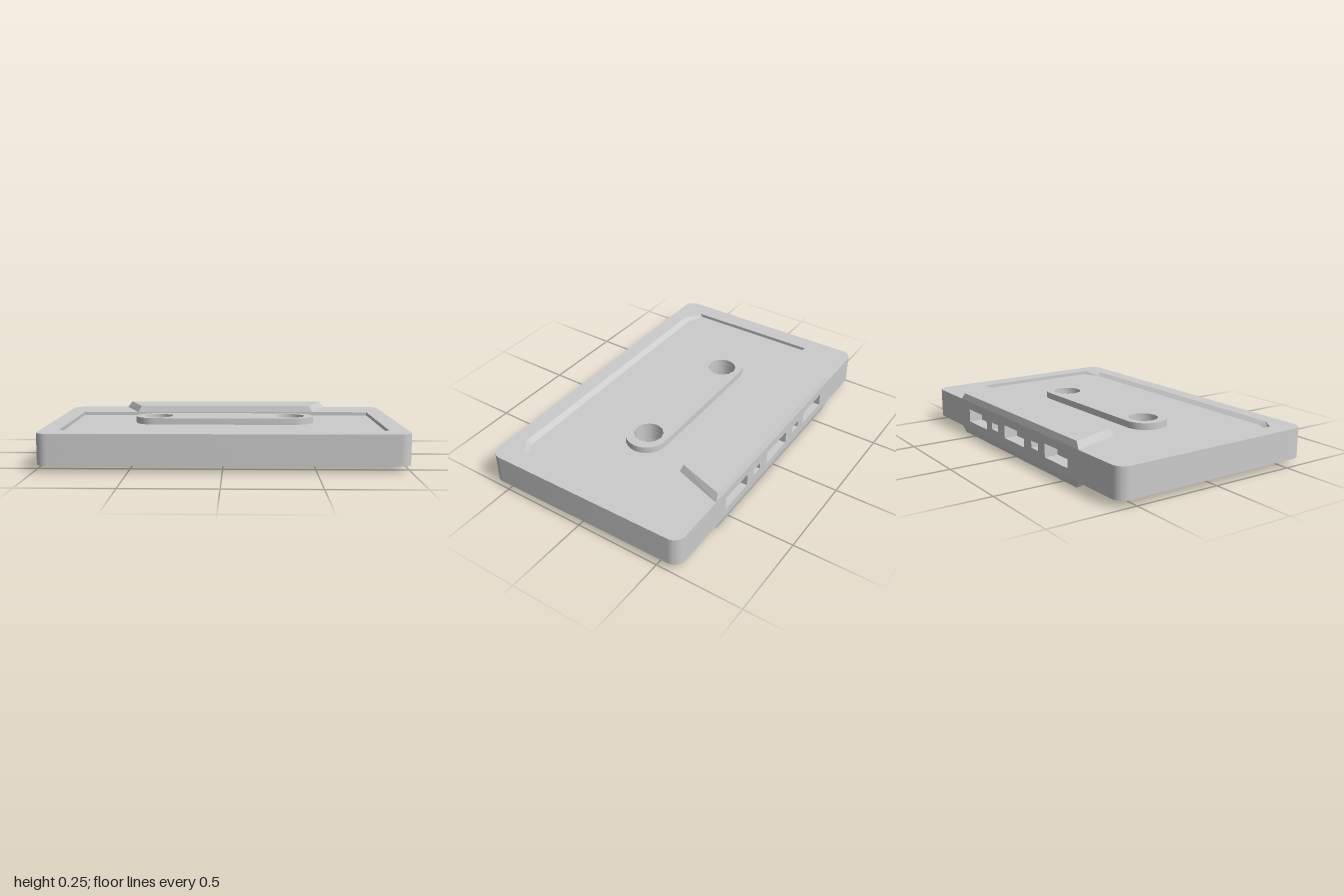
import * as THREE from 'three';
import { toCreasedNormals } from 'three/addons/utils/BufferGeometryUtils.js';
import { ConvexGeometry } from 'three/addons/geometries/ConvexGeometry.js';

const W = 0.994, D = 0.613, R = 0.065;           // half width, half depth, corner radius
const BODY = 0.085, FLOOR = 0.065;               // heights from the mid plane
const HUB = 0.1025, HEAD = 0.1225;
const HOLE_X = 0.39, HOLE_V = 0.012, HOLE_R = 0.083;
const material = new THREE.MeshStandardMaterial({ color: 0xcccccc });
const flat = new THREE.MeshStandardMaterial({ color: 0xcccccc, flatShading: true, side: THREE.DoubleSide });

function mesh(name, geometry, mat = material) {
  const m = new THREE.Mesh(geometry, mat);
  m.name = name;
  return m;
}

// Plan shapes use v = -z, so the rear edge lies at +v
function plate(name, shape, y0, y1) {
  const g = new THREE.ExtrudeGeometry(shape, { depth: y1 - y0, bevelEnabled: false, curveSegments: 6 });
  g.rotateX(-Math.PI / 2).translate(0, y0, 0);
  return mesh(name, toCreasedNormals(g, 0.6));
}

// Rounded outline with notches [centre, half width] cut into the rear edge
function outline(notches = [], depth = 0.08) {
  const s = new THREE.Shape();
  s.moveTo(-W + R, -D);
  s.lineTo(W - R, -D);
  s.absarc(W - R, -D + R, R, -Math.PI / 2, 0);
  s.absarc(W - R, D - R, R, 0, Math.PI / 2);
  for (const [x, h] of [...notches].sort((a, b) => b[0] - a[0])) {
    s.lineTo(x + h, D);
    s.lineTo(x + h, D - depth);
    s.lineTo(x - h, D - depth);
    s.lineTo(x - h, D);
  }
  s.absarc(-W + R, D - R, R, Math.PI / 2, Math.PI);
  s.absarc(-W + R, -D + R, R, Math.PI, Math.PI * 1.5);
  return s;
}

function addReelHoles(shape) {
  for (const x of [-HOLE_X, HOLE_X]) {
    shape.holes.push(new THREE.Path().absarc(x, HOLE_V, HOLE_R, 0, Math.PI * 2, true));
  }
  return shape;
}

// Rim, recess, hub plate and head block of one face
function createFace() {
  const face = new THREE.Group();
  const recess = [[-0.89, 0.33], [0.89, 0.33], [0.89, -0.465], [0.8, -0.525], [-0.8, -0.525], [-0.89, -0.465]];
  const rim = outline();
  rim.holes.push(new THREE.Path(recess.map(([x, v]) => new THREE.Vector2(x, v))));
  face.add(plate('rim', rim, FLOOR, BODY));

  // sloped front edge of the recess
  const pos = [], index = [];
  const inner = [[-0.89, 0.45], [-0.78, 0.495], [0.78, 0.495], [0.89, 0.45]];
  const outer = [[-0.89, 0.465], [-0.8, 0.525], [0.8, 0.525], [0.89, 0.465]];
  for (let i = 0; i < 4; i++) {
    pos.push(inner[i][0], FLOOR, inner[i][1], outer[i][0], BODY, outer[i][1]);
    const a = i * 2;
    if (i < 3) index.push(a, a + 1, a + 3, a, a + 3, a + 2);
  }
  const slope = new THREE.BufferGeometry();
  slope.setAttribute('position', new THREE.Float32BufferAttribute(pos, 3));
  slope.setIndex(index);
  slope.computeVertexNormals();
  face.add(mesh('recessSlope', slope, flat));

  // raised capsule around the two reel holes
  const capsule = new THREE.Shape();
  capsule.absarc(0.405, HOLE_V, 0.12, -Math.PI / 2, Math.PI / 2);
  capsule.absarc(-0.405, HOLE_V, 0.12, Math.PI / 2, Math.PI * 1.5);
  face.add(plate('hubPlate', addReelHoles(capsule), FLOOR, HUB));

  // tapered block along the rear edge
  const corners = [];
  for (const s of [-1, 1]) {
    corners.push(
      new THREE.Vector3(s * 0.65, BODY, -D), new THREE.Vector3(s * 0.55, BODY, -0.327),
      new THREE.Vector3(s * 0.62, HEAD, -D + 0.009), new THREE.Vector3(s * 0.53, HEAD, -0.336));
  }
  face.add(mesh('headBlock', new ConvexGeometry(corners), flat));
  return face;
}

export function createModel() {
  const model = new THREE.Group();
  model.name = 'cassette';
  const shell = new THREE.Group();
  shell.name = 'shell';
  shell.position.y = HEAD;
  shell.rotation.y = 0.011;
  model.add(shell);

  // core in layers, so the rear openings become pockets
  const big = [[-0.437, 0.11], [0, 0.11], [0.437, 0.11]];
  const small = [[-0.224, 0.036], [0.224, 0.036]];
  const layers = [
    [-FLOOR, -0.038, []], [-0.038, -0.02, big], [-0.02, 0.02, [...big, ...small]],
    [0.02, 0.038, big], [0.038, FLOOR, []],
  ];
  for (const [y0, y1, notches] of layers) {
    shell.add(plate('core', addReelHoles(outline(notches)), y0, y1));
  }

  const top = createFace();
  top.name = 'topFace';
  const bottom = createFace();
  bottom.name = 'bottomFace';
  bottom.rotation.z = Math.PI;
  shell.add(top, bottom);
  return model;
}
